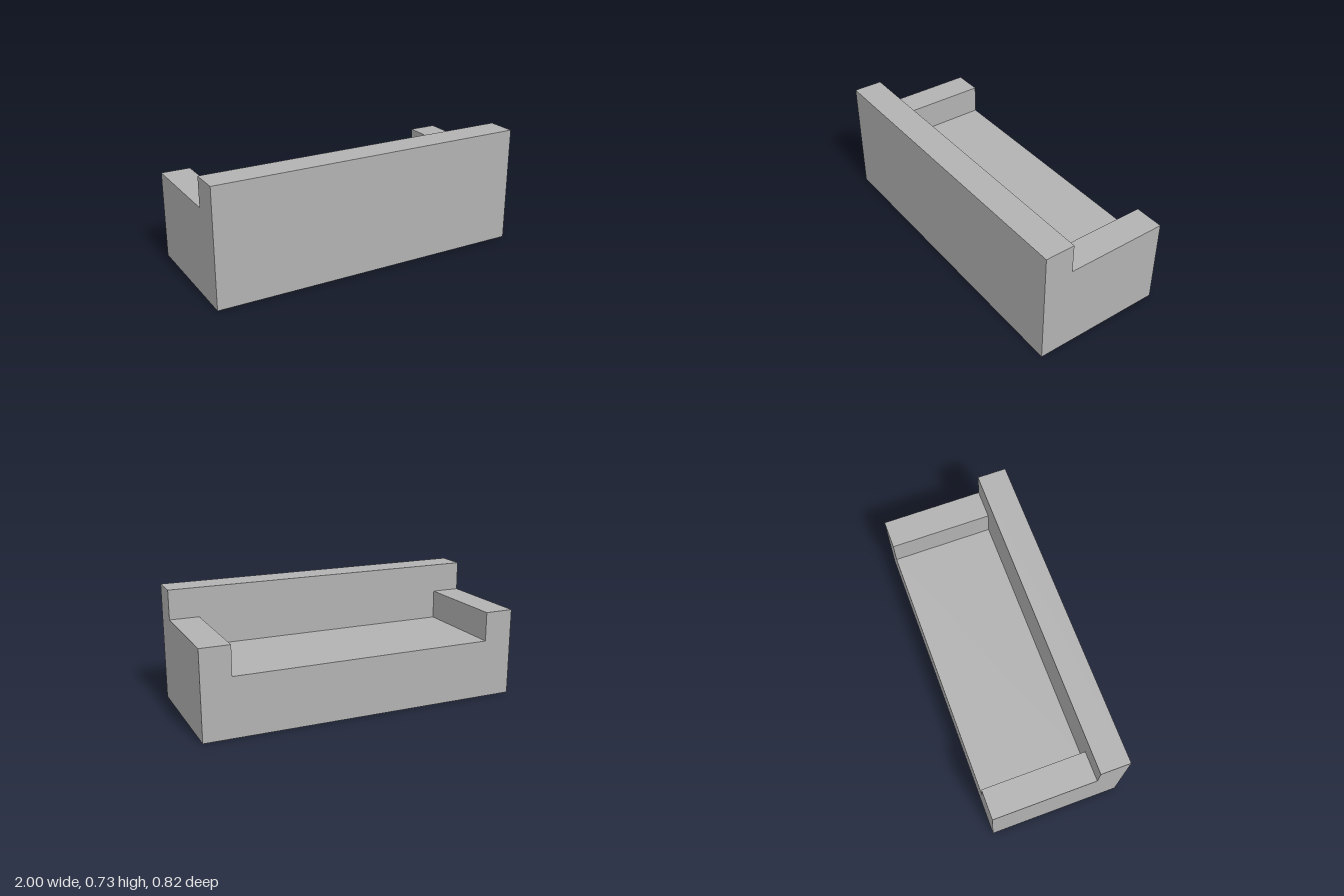
import * as THREE from 'three';

// One module of the sofa; every dimension is a multiple of it
const U = 2 / 11;

export function createModel() {
  const sofa = new THREE.Group();
  sofa.name = 'sofa';
  const grey = new THREE.MeshStandardMaterial({ color: 0xb2b2b2 });
  grey.name = 'grey';

  // Box standing on the ground, sized and placed in modules
  function block(name, width, height, depth, x, z) {
    const geometry = new THREE.BoxGeometry(width * U, height * U, depth * U);
    const mesh = new THREE.Mesh(geometry, grey);
    mesh.name = name;
    mesh.position.set(x * U, (height * U) / 2, z * U);
    sofa.add(mesh);
  }

  // Tall backrest along the +z side
  block('backrest', 11, 4, 1, 0, 1.75);
  // Low seat between the arms, open towards -z
  block('seat', 9, 2, 3.5, 0, -0.5);
  // Matching armrests
  block('leftArmrest', 1, 3, 3.5, 5, -0.5);
  block('rightArmrest', 1, 3, 3.5, -5, -0.5);

  return sofa;
}
